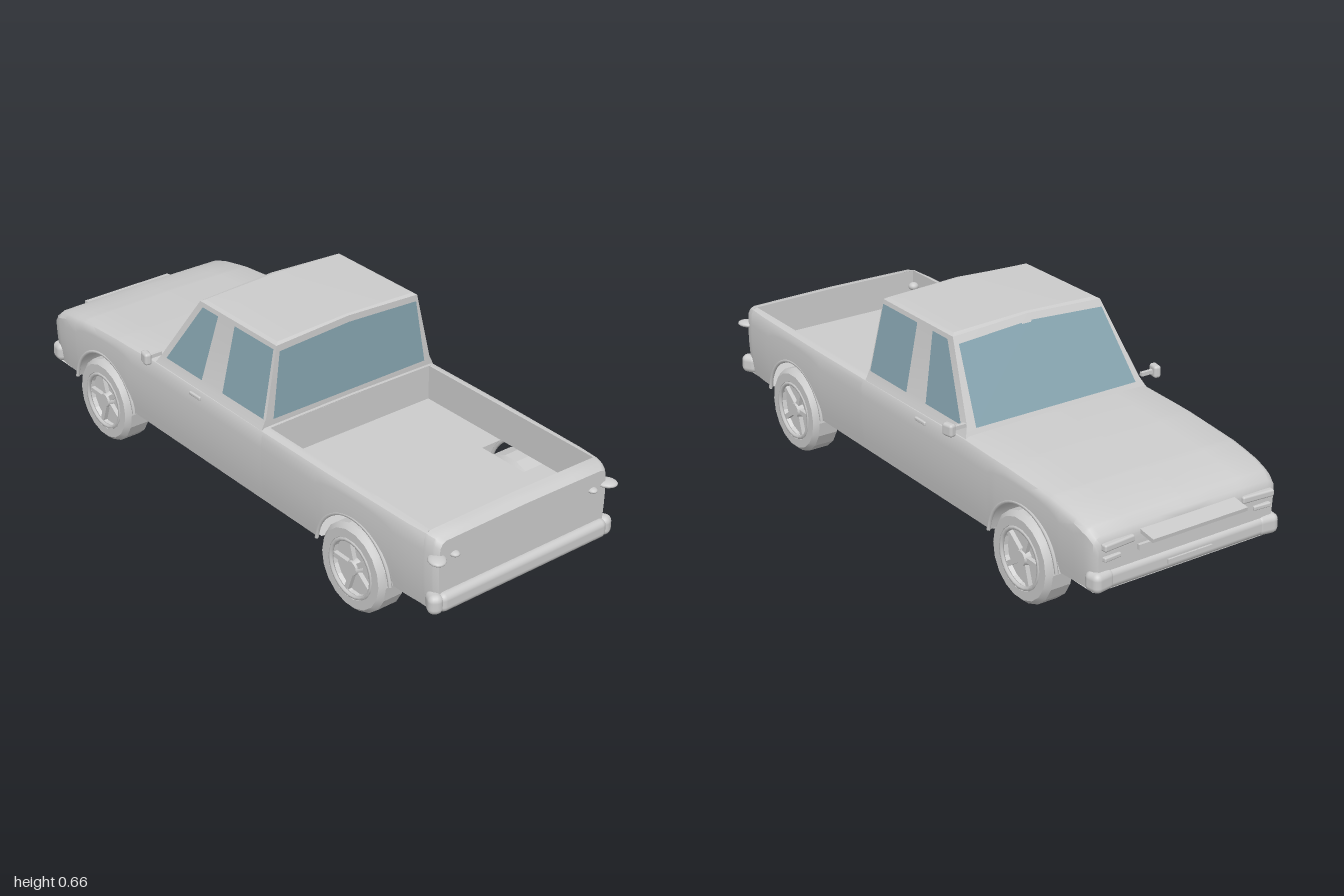
import * as THREE from 'three';
import { toCreasedNormals } from 'three/addons/utils/BufferGeometryUtils.js';
import { RoundedBoxGeometry } from 'three/addons/geometries/RoundedBoxGeometry.js';

const grey = new THREE.MeshStandardMaterial({ color: 0xcccccc, side: THREE.DoubleSide });
const glass = new THREE.MeshStandardMaterial({ color: 0x85a3ae, side: THREE.DoubleSide });
const AXLES = [0.63, -0.63], ARCH = 0.165, AXLE_Y = 0.14, SILL = 0.16, FLOOR = 0.285;

export function createModel() {
  const root = new THREE.Group();

  const add = (name, geo, pos = [0, 0, 0], rot = [0, 0, 0], mat = grey, parent = root) => {
    const m = new THREE.Mesh(geo, mat);
    m.name = name;
    m.position.set(...pos);
    m.rotation.set(...rot);
    parent.add(m);
    return m;
  };
  const box = (name, size, pos, rot, r = 0) =>
    add(name, r ? new RoundedBoxGeometry(...size, 3, r) : new THREE.BoxGeometry(...size), pos, rot);

  // Surface through equal-length rows of points
  const skin = (rows, crease = 0.6) => {
    const n = rows[0].length, idx = [];
    for (let i = 0; i < rows.length - 1; i++)
      for (let j = 0; j < n - 1; j++) {
        const a = i * n + j, b = a + n;
        idx.push(a, b, a + 1, b, b + 1, a + 1);
      }
    const g = new THREE.BufferGeometry();
    g.setAttribute('position', new THREE.Float32BufferAttribute(rows.flat(2), 3));
    g.setIndex(idx);
    return toCreasedNormals(g, crease);
  };

  // Piecewise-linear lookup in [z, value] pairs
  const lookup = (table, z) => {
    for (let i = 0; i < table.length - 1; i++) {
      const [z0, v0] = table[i], [z1, v1] = table[i + 1];
      if (z <= z1) return v0 + (v1 - v0) * Math.max(0, (z - z0) / (z1 - z0));
    }
    return table[table.length - 1][1];
  };
  const TOP = [[-0.945, 0.305], [-0.935, 0.325], [-0.91, 0.345], [-0.86, 0.362], [-0.75, 0.38],
    [-0.55, 0.395], [-0.33, 0.403], [0.2, 0.4], [0.92, 0.4], [0.95, 0.395], [0.968, 0.383]];
  const WIDTH = [[-0.945, 0.315], [-0.935, 0.325], [-0.9, 0.333], [-0.8, 0.34], [-0.5, 0.347],
    [0.5, 0.347], [0.85, 0.341], [0.93, 0.335], [0.955, 0.328], [0.968, 0.318]];
  const lower = z => Math.max(SILL, ...AXLES.map(c =>
    Math.abs(z - c) < ARCH ? AXLE_Y + Math.sqrt(ARCH ** 2 - (z - c) ** 2) : 0));

  // Half cross-section: flank, rounded shoulder, then deck or bed wall
  const section = (z, s, bed) => {
    const top = lookup(TOP, z), w = lookup(WIDTH, z), lo = lower(z), pts = [];
    const flank = y => w - 0.012 * ((y - 0.3) / 0.14) ** 2;
    for (let i = 0; i <= 6; i++) {
      const y = lo + (top - 0.02 - lo) * i / 6;
      pts.push([s * flank(y), y, z]);
    }
    pts.push([s * (w - 0.011), top - 0.006, z], [s * (w - 0.024), top, z]);
    if (bed) pts.push([s * 0.31, top, z], [s * 0.31, FLOOR, z]);
    else for (const f of [0.6, 0.3, 0]) pts.push([s * w * f, top + 0.004 * (1 - f), z]);
    return pts;
  };
  const stations = (a, b) => {
    const zs = [a, b];
    for (const [z] of [...TOP, ...WIDTH]) zs.push(z);
    for (const c of AXLES) for (let k = 0; k <= 16; k++) zs.push(c + ARCH * Math.cos(k * Math.PI / 16));
    return [...new Set(zs)].filter(z => z >= a && z <= b).sort((p, q) => p - q);
  };
  const flat = row => row.map(([, y, z]) => [0, y, z]);

  // Body: bonnet and cab base, open bed, tailgate
  for (const s of [1, -1]) {
    const nose = stations(-0.945, 0.21).map(z => section(z, s, false));
    add('frontBody', skin([flat(nose[0]), ...nose]));
    add('bedSide', skin(stations(0.21, 0.92).map(z => section(z, s, true))));
    const tail = stations(0.92, 0.968).map(z => section(z, s, false));
    add('tailgate', skin([...tail, flat(tail[tail.length - 1])]));
  }
  for (const z of [0.21, 0.92])
    add('bedEndWall', new THREE.PlaneGeometry(0.64, 0.4 - FLOOR), [0, (0.4 + FLOOR) / 2, z]);

  // Flat panels notched around the wheels
  const panel = (name, y, w, z0, z1, notches, half, inner) => {
    const sh = new THREE.Shape();
    sh.moveTo(-w, z0);
    for (const s of [1, -1]) {
      const cs = [...notches].sort((a, b) => s * (a - b));
      sh.lineTo(s * w, s > 0 ? z0 : z1);
      for (const c of cs) {
        sh.lineTo(s * w, c - s * half);
        sh.lineTo(s * inner, c - s * half);
        sh.lineTo(s * inner, c + s * half);
        sh.lineTo(s * w, c + s * half);
      }
      sh.lineTo(s * w, s > 0 ? z1 : z0);
    }
    add(name, new THREE.ShapeGeometry(sh), [0, y, 0], [Math.PI / 2, 0, 0]);
  };
  panel('underside', SILL, 0.325, -0.94, 0.96, AXLES, 0.16, 0.235);
  panel('bedFloor', FLOOR, 0.325, 0.21, 0.92, [0.63], 0.09, 0.235);

  // Cab shell: levels of [half width, y, front z, rear z]
  const LEVELS = [[0.336, 0.393, -0.345, 0.2], [0.318, 0.43, -0.325, 0.2],
    [0.27, 0.65, -0.185, 0.19], [0.258, 0.657, -0.172, 0.18]];
  const crown = [0, 0, 0.014, 0.009];
  add('cabShell', skin(LEVELS.map(([x, y, f, r], i) => [[x, y, f], [x, y, r], [0, y + crown[i], r],
    [-x, y, r], [-x, y, f], [0, y + crown[i], f], [x, y, f]]), 0.5));
  const [rx, ry, rf, rr] = LEVELS[3];
  add('roof', skin([rf, rr].map(z => [[rx, ry, z], [0, ry + 0.009, z], [-rx, ry, z]])));

  // Windows lie just outside the shell
  const slope = y => (y - 0.43) / 0.22;
  const pane = (name, zAt) => add(name, skin([
    [-0.294, 0.422], [0, 0.422], [0.294, 0.422]].map(([x, y], i) => {
    const tx = [-0.262, 0, 0.262][i], ty = i === 1 ? 0.645 : 0.632;
    return [[x, y, zAt(y)], [tx, ty, zAt(ty)]];
  })), [0, 0, 0], [0, 0, 0], glass);
  pane('windscreen', y => -0.333 + 0.14 * slope(y));
  pane('rearWindow', y => 0.204 - 0.01 * slope(y));
  for (const s of [1, -1]) {
    const side = (name, b0, b1, t0, t1) => {
      const p = (y, z) => [s * (0.321 - 0.048 * slope(y)), y, z];
      add(name, skin([[p(0.425, b0), p(0.425, b1)], [p(0.638, t0), p(0.638, t1)]]),
        [0, 0, 0], [0, 0, 0], glass);
    };
    side('rearSideWindow', 0.192, -0.01, 0.183, -0.005);
    side('doorWindow', -0.115, -0.3, -0.087, -0.165);

    // Door handles and mirrors
    box('doorHandle', [0.014, 0.012, 0.055], [s * 0.342, 0.377, -0.12], [0, 0, 0], 0.004);
    box('mirrorArm', [0.05, 0.012, 0.012], [s * 0.35, 0.435, -0.325]);
    box('mirrorHead', [0.024, 0.04, 0.04], [s * 0.38, 0.435, -0.325], [0, s * 0.2, 0], 0.009);

    // Lamps
    const lamp = (name, r, scale, pos, turn) =>
      add(name, new THREE.SphereGeometry(r, 14, 10), pos, [0, turn, 0]).scale.set(...scale);
    lamp('tailLamp', 0.03, [0.9, 0.36, 1.15], [s * 0.324, 0.332, 0.965], s * 0.5);
    lamp('reverseLamp', 0.015, [1, 0.55, 1.2], [s * 0.264, 0.331, 0.968], 0);
    lamp('bedLamp', 0.018, [1, 0.8, 1], [s * 0.298, 0.35, 0.9], 0);
    box('headLamp', [0.11, 0.022, 0.022], [s * 0.25, 0.296, -0.948], [0, s * 0.08, 0], 0.006);
    box('indicator', [0.06, 0.014, 0.02], [s * 0.27, 0.258, -0.945], [0, s * 0.08, 0], 0.004);

    // Bumper ends
    box('rearBumperEnd', [0.045, 0.062, 0.06], [s * 0.322, 0.19, 0.957], [0, s * 0.5, 0], 0.02);
    box('frontBumperEnd', [0.075, 0.062, 0.058], [s * 0.298, 0.19, -0.931], [0, s * 0.15, 0], 0.02);
  }

  // Bumpers and nose trim
  box('rearBumper', [0.64, 0.06, 0.05], [0, 0.19, 0.965], [0, 0, 0], 0.02);
  box('frontBumper', [0.62, 0.06, 0.05], [0, 0.19, -0.93], [0, 0, 0], 0.02);
  box('grilleBar', [0.34, 0.012, 0.06], [0, 0.302, -0.97], [-0.15, 0, 0]);
  box('lowerGrille', [0.36, 0.016, 0.014], [0, 0.262, -0.948]);
  box('bumperSlot', [0.16, 0.014, 0.01], [0, 0.19, -0.956]);

  // Wheels with five-spoke rims, arch lips and front wheel wells
  const tyre = toCreasedNormals(new THREE.LatheGeometry([[0, -0.048], [0.122, -0.048], [0.14, -0.034],
    [0.14, 0.034], [0.126, 0.05], [0.098, 0.05], [0.09, 0.024], [0, 0.024]]
    .map(p => new THREE.Vector2(...p)), 18), 0.3);
  for (const z of AXLES) for (const s of [1, -1]) {
    const wheel = new THREE.Group();
    wheel.name = z < 0 ? 'frontWheel' : 'rearWheel';
    wheel.position.set(s * 0.301, AXLE_Y, z);
    wheel.rotation.z = -s * Math.PI / 2;
    root.add(wheel);
    add('tyre', tyre, [0, 0, 0], [0, 0, 0], grey, wheel);
    add('rim', new THREE.TorusGeometry(0.091, 0.007, 6, 24), [0, 0.046, 0], [Math.PI / 2, 0, 0], grey, wheel);
    add('hub', new THREE.CylinderGeometry(0.022, 0.028, 0.024, 12), [0, 0.034, 0], [0, 0, 0], grey, wheel);
    for (let k = 0; k < 5; k++) {
      const a = k * Math.PI * 0.4 + 0.3;
      add('spoke', new THREE.BoxGeometry(0.07, 0.014, 0.016),
        [0.053 * Math.cos(a), 0.032, -0.053 * Math.sin(a)], [0, a, 0], grey, wheel);
    }
    add('archLip', new THREE.TorusGeometry(ARCH, 0.006, 6, 24, Math.PI - 0.24),
      [s * 0.341, AXLE_Y, z], [0, Math.PI / 2, 0]).geometry.rotateZ(0.12);
    if (z < 0) {
      const arc = x => Array.from({ length: 17 }, (_, k) => {
        const a = 0.12 + (Math.PI - 0.24) * k / 16;
        return [s * x, AXLE_Y + ARCH * Math.sin(a), z + ARCH * Math.cos(a)];
      });
      const edge = arc(0.235);
      add('wheelWell', skin([arc(0.342), edge, edge.map(([x, , q]) => [x, SILL, q])]));
    }
  }
  return root;
}
